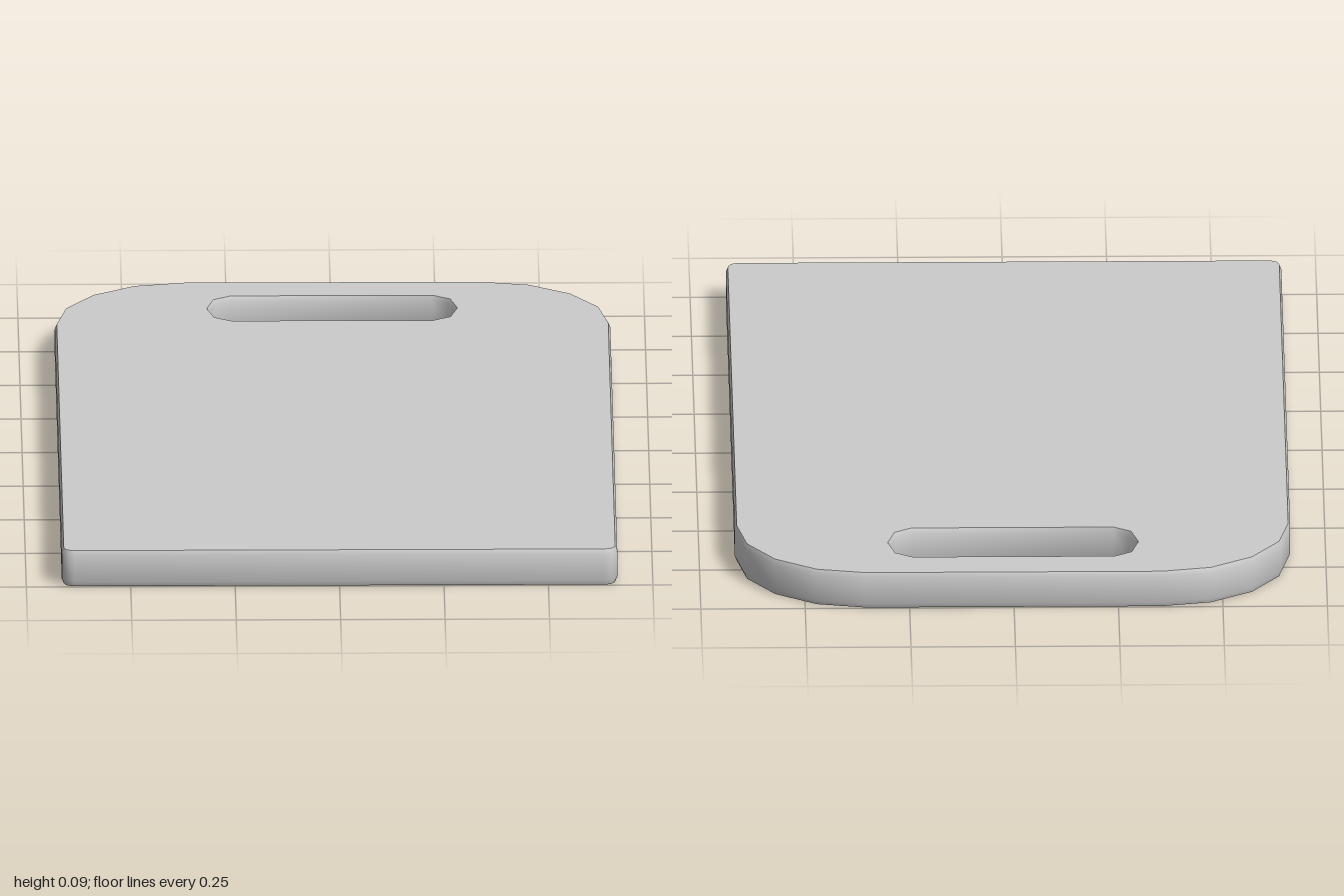
import * as THREE from 'three';
import { toCreasedNormals } from 'three/addons/utils/BufferGeometryUtils.js';

export function createModel() {
  const group = new THREE.Group();
  const W = 0.665, L = 1, H = 0.09;   // half width, half length, thickness
  const R = 0.31, r = 0.03;           // back and front corner radii
  const q = Math.PI / 2;

  // Board outline, drawn flat with the back at +y
  const outline = new THREE.Shape();
  outline.absarc(W - r, -L + r, r, -q, 0);
  outline.absarc(W - R, L - R, R, 0, q);
  outline.absarc(-W + R, L - R, R, q, 2 * q);
  outline.absarc(-W + r, -L + r, r, 2 * q, 3 * q);
  outline.closePath();

  // Handle slot with rounded ends
  const slot = new THREE.Path();
  slot.absellipse(0.24, 0.803, 0.055, 0.088, -q, q);
  slot.absellipse(-0.24, 0.803, 0.055, 0.088, q, 3 * q);
  slot.closePath();
  outline.holes.push(slot);

  // Slab with softened rims, laid down on the ground
  const rim = 0.012, inset = 0.005;
  const slab = new THREE.ExtrudeGeometry(outline, {
    depth: H - 2 * rim,
    curveSegments: 2,
    bevelThickness: rim,
    bevelSize: inset,
    bevelOffset: -inset,
    bevelSegments: 1,
  });
  slab.rotateX(-q);
  slab.translate(0, rim, 0);

  const board = new THREE.Mesh(
    toCreasedNormals(slab, 0.9),
    new THREE.MeshStandardMaterial({ color: 0xcccccc })
  );
  board.name = 'cuttingBoard';
  group.add(board);
  return group;
}
